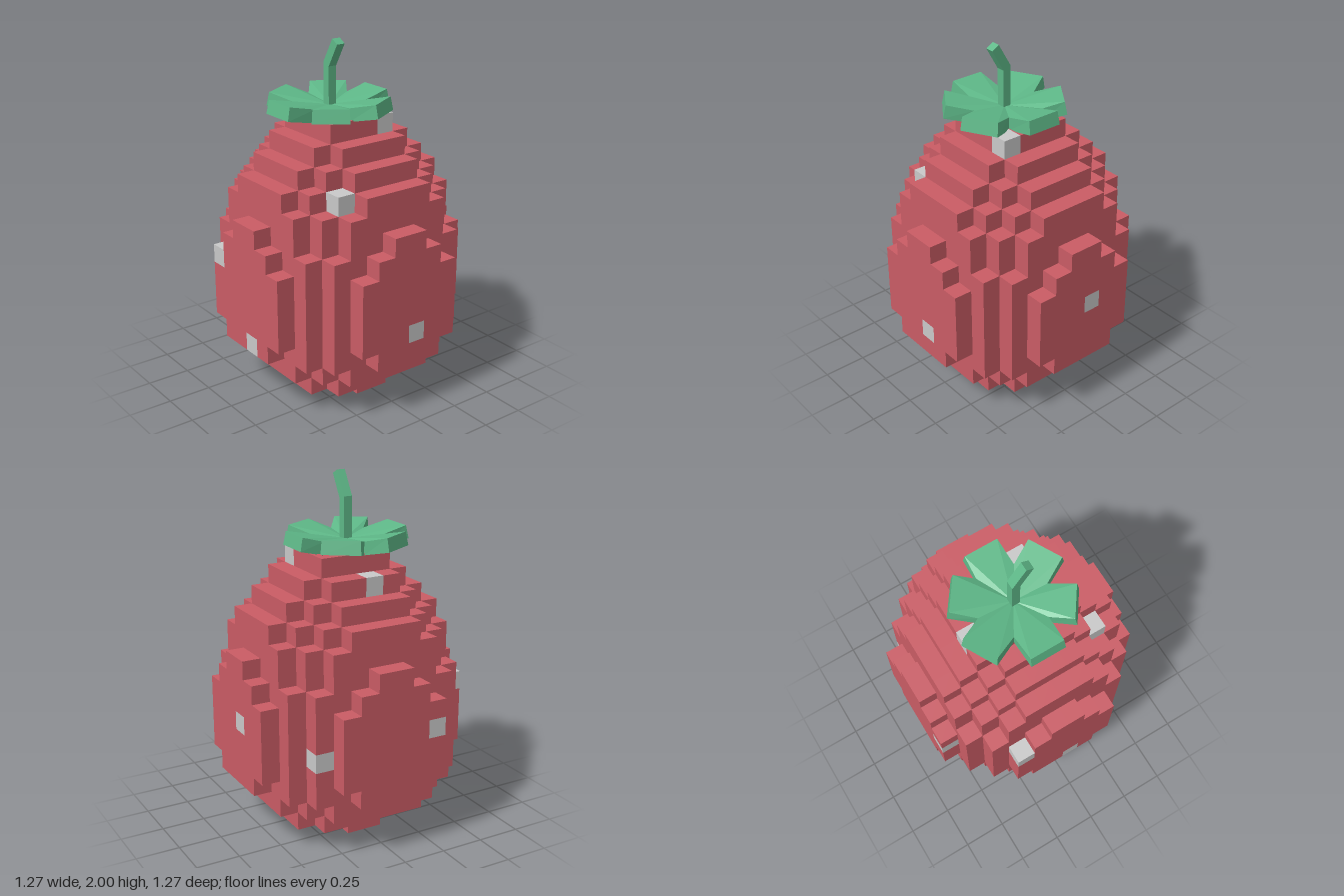
import * as THREE from 'three';
import { mergeGeometries } from 'three/addons/utils/BufferGeometryUtils.js';

const V = 0.1058; // cube size

// Radius of each layer of cubes, from the bottom up
const RADII = [2.7, 4.35, 5.23, 5.85, 6.15, 6.3, 6.3, 6.15, 5.85, 5.6, 5.3, 4.8, 4.0, 3.2, 2.3];

// Seed cubes as column, layer, row
const SEEDS = [
  [-6, 6, 2], [-3, 7, 5], [0, 3, 5], [3, 11, 2], [5, 4, -1],
  [1, 14, -2], [-3, 13, 0], [-1, 6, -6], [-5, 5, -4],
];

const filled = (i, j, k) =>
  j >= 0 && j < RADII.length && Math.hypot(i + 0.5, k + 0.5) <= RADII[j];
const isSeed = (i, j, k) => SEEDS.some(s => s[0] === i && s[1] === j && s[2] === k);

// One square per cube side, with its outward direction
function cubeSides() {
  const dirs = [[1, 0, 0], [-1, 0, 0], [0, 1, 0], [0, -1, 0], [0, 0, 1], [0, 0, -1]];
  return dirs.map(d => {
    const plane = new THREE.PlaneGeometry(V, V).translate(0, 0, V / 2);
    if (d[0]) plane.rotateY(d[0] * Math.PI / 2);
    else if (d[1]) plane.rotateX(-d[1] * Math.PI / 2);
    else if (d[2] < 0) plane.rotateY(Math.PI);
    return { d, plane };
  });
}

// Outer skin of the stacked cubes, sorted into flesh and seeds
function berrySkin() {
  const flesh = [], seeds = [], sides = cubeSides();
  for (let j = 0; j < RADII.length; j++)
    for (let i = -6; i < 6; i++)
      for (let k = -6; k < 6; k++) {
        if (!filled(i, j, k)) continue;
        const list = isSeed(i, j, k) ? seeds : flesh;
        for (const { d, plane } of sides) {
          if (filled(i + d[0], j + d[1], k + d[2])) continue;
          list.push(plane.clone().translate((i + 0.5) * V, (j + 0.5) * V, (k + 0.5) * V));
        }
      }
  return [mergeGeometries(flesh), mergeGeometries(seeds)];
}

// Six-leaf star: a dished slab; every third outline point is a notch
function leafStar() {
  const cx = -0.005, cz = 0.055;
  const outline = [
    [-0.107, 0.23], [-0.107, 0.4], [0.097, 0.4],
    [0.1, 0.23], [0.21, 0.33], [0.325, 0.165],
    [0.19, 0.07], [0.34, -0.005], [0.24, -0.19],
    [0.1, -0.11], [0.097, -0.28], [-0.107, -0.28],
    [-0.107, -0.14], [-0.215, -0.22], [-0.34, -0.045],
    [-0.21, 0.05], [-0.35, 0.12], [-0.25, 0.305],
  ];
  const bottom = outline.map(([x, z], n) => [x, n % 3 ? 1.61 : 1.575, z]);
  const top = outline.map(([x, z], n) => {
    const s = n % 3 ? 0.955 : 1;
    return [cx + (x - cx) * s, n % 3 ? 1.685 : 1.65, cz + (z - cz) * s];
  });
  const topMid = [cx, 1.63, cz], bottomMid = [cx, 1.56, cz];
  const pos = [];
  const tri = (...corners) => corners.forEach(c => pos.push(...c));
  outline.forEach((_, n) => {
    const m = (n + 1) % outline.length;
    tri(topMid, top[n], top[m]);
    tri(bottomMid, bottom[m], bottom[n]);
    tri(bottom[n], bottom[m], top[m]);
    tri(bottom[n], top[m], top[n]);
  });
  const geo = new THREE.BufferGeometry();
  geo.setAttribute('position', new THREE.Float32BufferAttribute(pos, 3));
  geo.computeVertexNormals();
  return geo;
}

// Square stem with a bent tip
function stemGeometry() {
  const shape = new THREE.Shape([
    [-0.027, 1.59], [0.02, 1.59], [0.02, 1.845],
    [0.095, 1.975], [0.052, 2.0], [-0.027, 1.865],
  ].map(p => new THREE.Vector2(...p)));
  return new THREE.ExtrudeGeometry(shape, { depth: 0.05, bevelEnabled: false }).translate(0, 0, 0.03);
}

export function createModel() {
  const material = (name, color) => {
    const m = new THREE.MeshStandardMaterial({ color });
    m.name = name;
    return m;
  };
  const red = material('berry red', 0xca5c65);
  const white = material('seed white', 0xc9c9c9);
  const green = material('leaf green', 0x5eb888);

  const model = new THREE.Group();
  model.name = 'strawberry';
  const add = (name, geometry, mat) => {
    const mesh = new THREE.Mesh(geometry, mat);
    mesh.name = name;
    model.add(mesh);
  };
  const [flesh, seeds] = berrySkin();
  add('berry', flesh, red);
  add('seeds', seeds, white);
  add('leaves', leafStar(), green);
  add('stem', stemGeometry(), green);
  return model;
}
